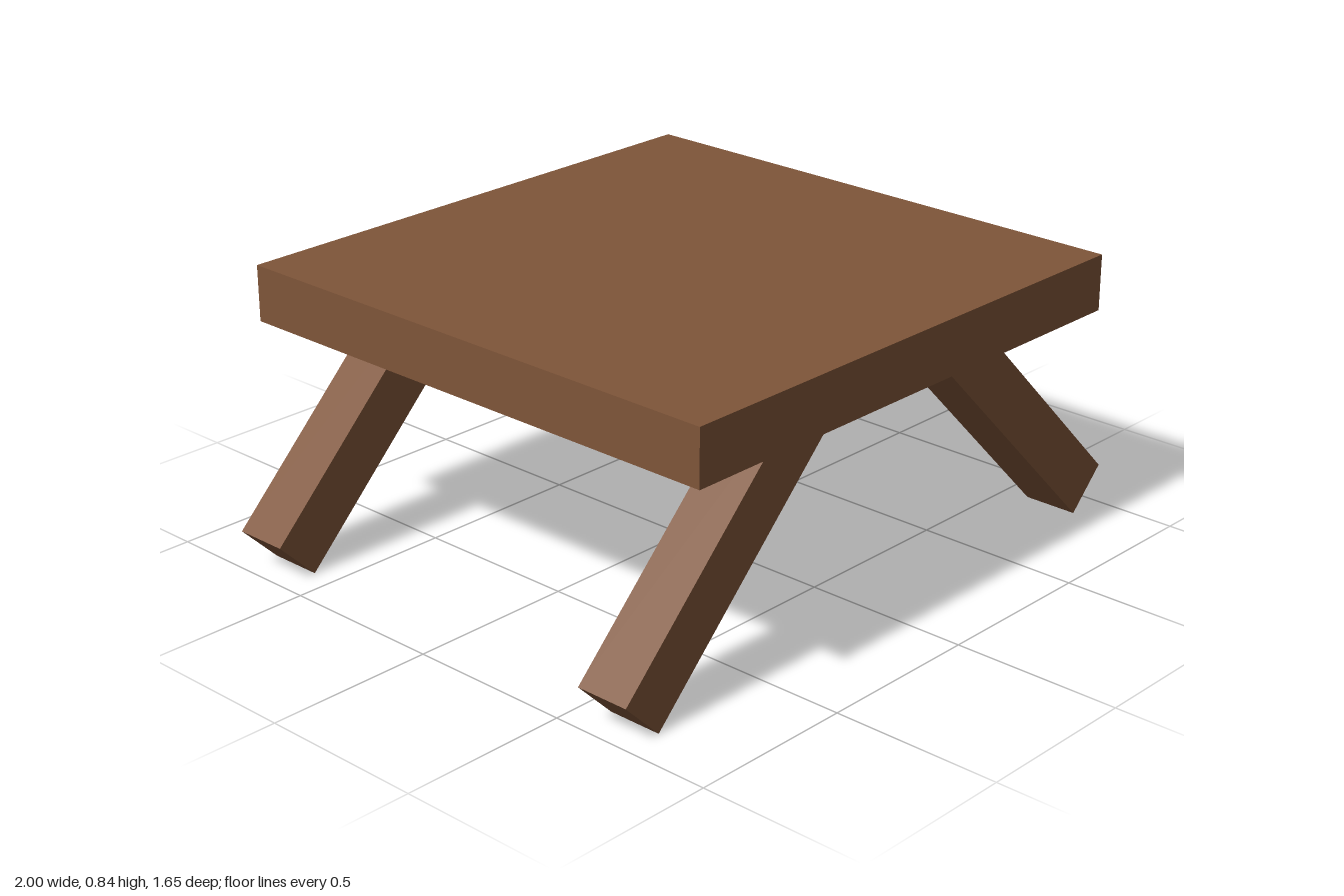
import * as THREE from 'three';

export function createModel() {
  const table = new THREE.Group();
  table.name = 'table';

  const wood = new THREE.MeshStandardMaterial({ color: 0x7f5539 });
  wood.name = 'brown wood';

  // Square slab top
  const top = new THREE.Mesh(new THREE.BoxGeometry(1.65, 0.165, 1.65), wood);
  top.name = 'tableTop';
  top.position.y = 0.755;
  table.add(top);

  // Four square legs splayed sideways at 45 degrees, their tops set into the slab
  const thickness = 0.165;
  const length = 0.99;
  const legGeometry = new THREE.BoxGeometry(thickness, length, thickness);
  const reach = (length / 2) * Math.SQRT1_2;
  const halfEnd = (thickness / 2) * Math.SQRT1_2;
  for (const [sx, side] of [[1, 'Left'], [-1, 'Right']]) {
    for (const [sz, end] of [[1, 'front'], [-1, 'back']]) {
      const leg = new THREE.Mesh(legGeometry, wood);
      leg.name = `${end}${side}Leg`;
      leg.position.set(sx * (1 - halfEnd - reach), halfEnd + reach, sz * 0.66);
      leg.rotation.z = sx * Math.PI / 4;
      table.add(leg);
    }
  }
  return table;
}
